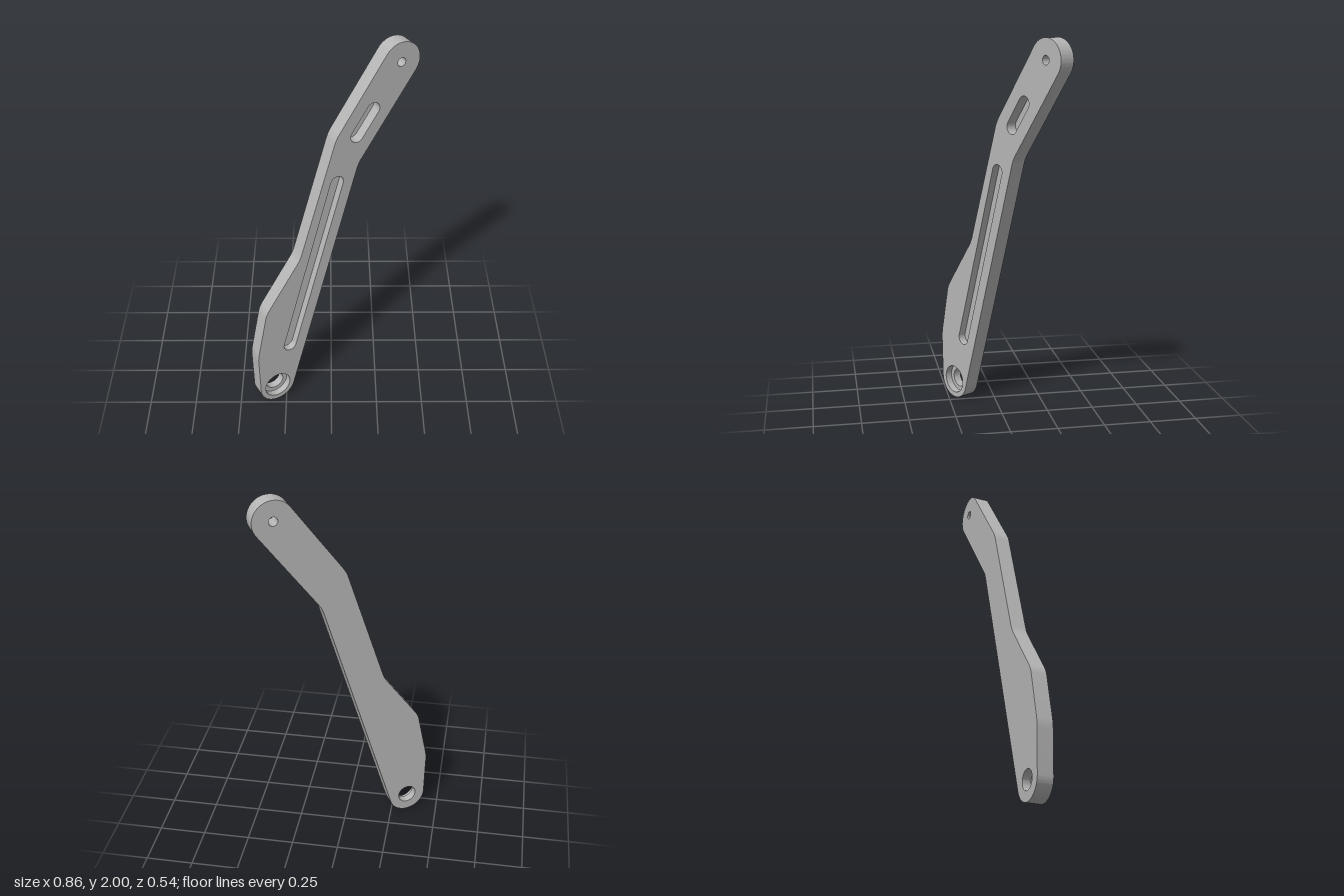
import * as THREE from 'three';
import { toCreasedNormals } from 'three/addons/utils/BufferGeometryUtils.js';

const HALF = 0.041; // half of the plate thickness
const V = (x, y) => new THREE.Vector2(x, y);

// Angle on a circle where the tangent line from p touches it (side = +1 or -1)
function tangentAngle(c, r, p, side) {
  const d = p.clone().sub(c);
  return Math.atan2(d.y, d.x) + side * Math.acos(r / d.length());
}
const onCircle = (c, r, a) => V(c.x + r * Math.cos(a), c.y + r * Math.sin(a));

// Softly rounded corner at p
function bend(shape, prev, p, next, cut = 0.03) {
  const a = prev.clone().sub(p).setLength(cut).add(p);
  const b = next.clone().sub(p).setLength(cut).add(p);
  shape.lineTo(a.x, a.y);
  shape.quadraticCurveTo(p.x, p.y, b.x, b.y);
}

function circle(c, r) {
  const s = new THREE.Shape();
  s.absarc(c.x, c.y, r, 0, Math.PI * 2, false);
  return s;
}

// Round-ended slot from a to b
function slot(a, b, r) {
  const t = Math.atan2(b.y - a.y, b.x - a.x);
  const s = new THREE.Shape();
  s.absarc(a.x, a.y, r, t + Math.PI / 2, t + Math.PI * 1.5, false);
  s.absarc(b.x, b.y, r, t - Math.PI / 2, t + Math.PI / 2, false);
  s.closePath();
  return s;
}

// Flat face at height z, with optional holes
function face(shape, holes, z, flip = false) {
  const s = shape.clone();
  s.holes = holes;
  const g = new THREE.ShapeGeometry(s, 24);
  g.translate(0, 0, z);
  if (flip) {
    const idx = g.index.array;
    for (let i = 0; i < idx.length; i += 3) [idx[i], idx[i + 1]] = [idx[i + 1], idx[i]];
    g.computeVertexNormals();
  }
  return g;
}

// Wall following a counter-clockwise outline between two heights
function wall(shape, z0, z1, inward = false) {
  const pts = shape.getPoints(24);
  if (inward) pts.reverse();
  const pos = [];
  pts.forEach((a, i) => {
    const b = pts[(i + 1) % pts.length];
    if (a.distanceTo(b) < 1e-6) return;
    pos.push(a.x, a.y, z0, b.x, b.y, z0, b.x, b.y, z1);
    pos.push(a.x, a.y, z0, b.x, b.y, z1, a.x, a.y, z1);
  });
  const g = new THREE.BufferGeometry();
  g.setAttribute('position', new THREE.Float32BufferAttribute(pos, 3));
  return toCreasedNormals(g, 0.5);
}

export function createModel() {
  const metal = new THREE.MeshStandardMaterial({ color: 0xb6b6b6 });
  metal.name = 'grey metal';
  const model = new THREE.Group();
  model.name = 'linkArm';
  const add = (name, geometry) => {
    const mesh = new THREE.Mesh(geometry, metal);
    mesh.name = name;
    model.add(mesh);
  };

  // Arm outline: two round ends joined by bent edges
  const low = V(-0.364, 0.103), lowR = 0.103;
  const high = V(0.366, 1.895), highR = 0.105;
  const inner = V(0.132, 1.394);
  const edge = [V(0.004, 1.572), V(-0.207, 0.918), V(-0.413, 0.632), V(-0.473, 0.348)];
  const lowLeft = tangentAngle(low, lowR, edge[3], 1);
  const lowRight = tangentAngle(low, lowR, inner, -1);
  const highRight = tangentAngle(high, highR, inner, 1);
  const highLeft = tangentAngle(high, highR, edge[0], -1);

  const outline = new THREE.Shape();
  outline.absarc(low.x, low.y, lowR, lowLeft, lowRight, false);
  bend(outline, onCircle(low, lowR, lowRight), inner, onCircle(high, highR, highRight));
  outline.absarc(high.x, high.y, highR, highRight, highLeft, false);
  const chain = [onCircle(high, highR, highLeft), ...edge, onCircle(low, lowR, lowLeft)];
  for (let i = 1; i < chain.length - 1; i++) bend(outline, chain[i - 1], chain[i], chain[i + 1]);
  outline.closePath();

  // Openings
  const pinHole = circle(high, 0.023);
  const bore = circle(low, 0.051);
  const counterbore = circle(low, 0.075);
  const longSlot = slot(V(-0.28, 0.364), V(0.01, 1.32), 0.037);
  const shortSlot = slot(V(0.123, 1.558), V(0.212, 1.68), 0.037);

  // Plate
  add('frontFace', face(outline, [pinHole, counterbore, longSlot, shortSlot], HALF));
  add('backFace', face(outline, [pinHole, bore], -HALF, true));
  add('outerEdge', wall(outline, -HALF, HALF));

  // Through holes and the stepped lower bore
  const ledge = HALF - 0.038;
  add('pinHole', wall(pinHole, -HALF, HALF, true));
  add('boreWall', wall(bore, -HALF, ledge, true));
  add('counterboreLedge', face(counterbore, [bore], ledge));
  add('counterboreWall', wall(counterbore, ledge, HALF, true));

  // Blind slots in the front
  for (const [name, shape, depth] of [['longSlot', longSlot, 0.041], ['shortSlot', shortSlot, 0.056]]) {
    add(name + 'Floor', face(shape, [], HALF - depth));
    add(name + 'Wall', wall(shape, HALF - depth, HALF, true));
  }

  model.rotation.y = Math.PI / 6;
  return model;
}
